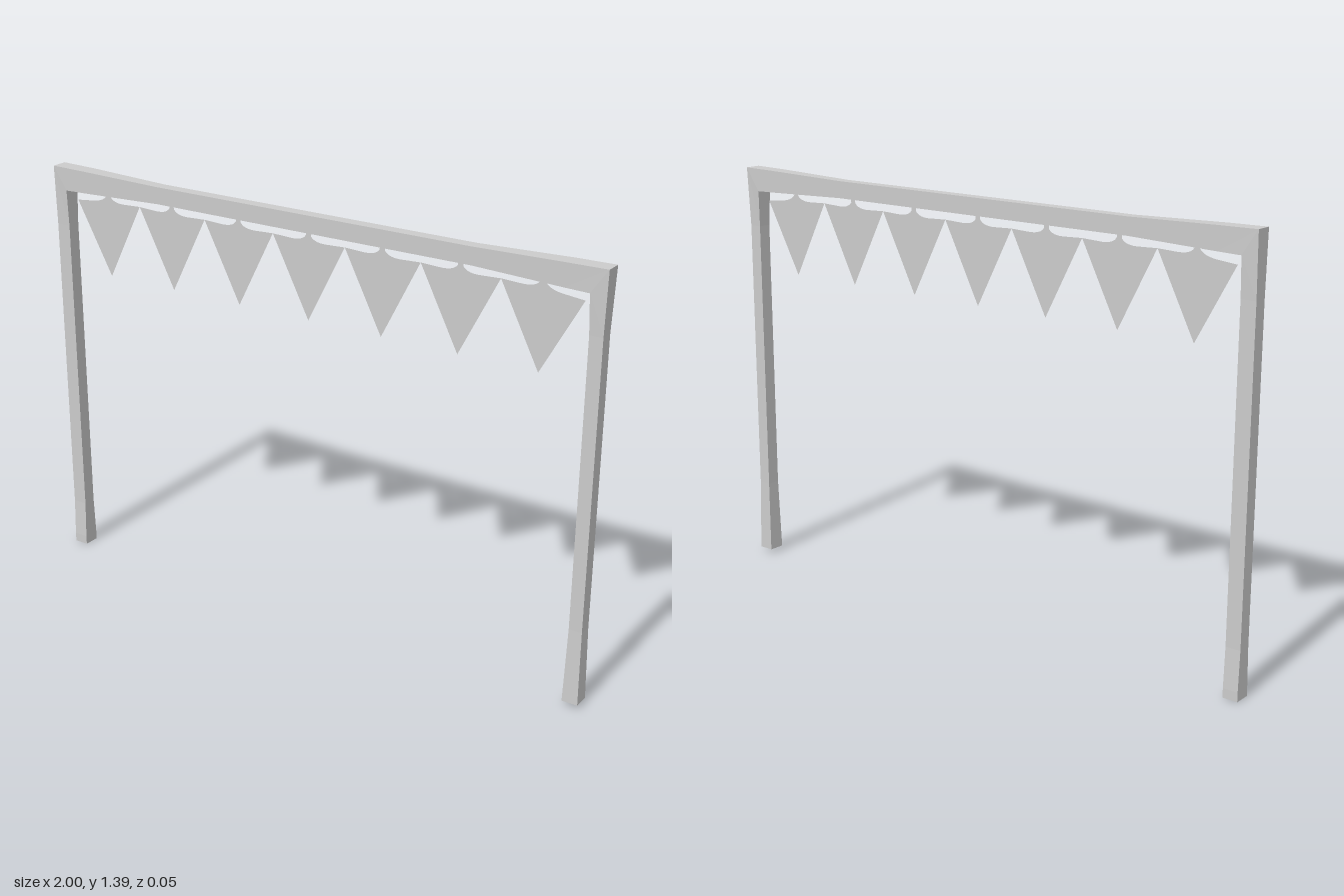
import * as THREE from 'three';

const material = new THREE.MeshStandardMaterial({ color: 0xcccccc, flatShading: true });
const clothMaterial = new THREE.MeshStandardMaterial({ color: 0xcccccc, side: THREE.DoubleSide });

// Square bar lofted through stations [outerX, outerY, innerX, innerY, halfDepth]
function bar(name, stations, capStart, capEnd) {
  const positions = [];
  const rings = stations.map(([ox, oy, ix, iy, d]) =>
    [[ox, oy, d], [ox, oy, -d], [ix, iy, -d], [ix, iy, d]]);
  const quad = (a, b, c, d) => [a, b, c, a, c, d].forEach((p) => positions.push(...p));
  for (let i = 0; i < rings.length - 1; i++) {
    for (let k = 0; k < 4; k++) {
      const n = (k + 1) % 4;
      quad(rings[i][k], rings[i + 1][k], rings[i + 1][n], rings[i][n]);
    }
  }
  if (capStart) quad(...rings[0]);
  if (capEnd) quad(...[...rings[rings.length - 1]].reverse());
  const geometry = new THREE.BufferGeometry();
  geometry.setAttribute('position', new THREE.Float32BufferAttribute(positions, 3));
  geometry.computeVertexNormals();
  const mesh = new THREE.Mesh(geometry, material);
  mesh.name = name;
  return mesh;
}

// Triangular flag with a small curved hanging tab; outer corners may droop
function pennant(x, leftDrop, rightDrop) {
  const top = 1.292;
  const half = 0.132;
  const s = new THREE.Shape();
  s.moveTo(0, 1.037);
  s.lineTo(half, top + 0.003 - rightDrop);
  s.lineTo(0.06, top - rightDrop * 0.35);
  s.quadraticCurveTo(0.02, top, 0.009, 1.31);
  s.lineTo(0.009, 1.326);
  s.lineTo(-0.009, 1.326);
  s.lineTo(-0.009, 1.31);
  s.quadraticCurveTo(-0.02, top, -0.06, top - leftDrop * 0.35);
  s.lineTo(-half, top + 0.003 - leftDrop);
  s.closePath();
  const mesh = new THREE.Mesh(new THREE.ShapeGeometry(s, 5), clothMaterial);
  mesh.name = 'pennant';
  mesh.position.x = x;
  return mesh;
}

export function createModel() {
  const group = new THREE.Group();
  group.name = 'buntingFrame';

  // Mitred corners shared by the posts and the beam
  const leftCorner = [-1, 1.389, -0.95, 1.312, 0.027];
  const rightCorner = [1, 1.389, 0.947, 1.312, 0.027];

  // Posts, slimmer between foot and corner; the left one is a touch longer
  group.add(bar('rightPost', [
    [-1, 0, -0.95, 0, 0.027], [-1, 0.03, -0.95, 0.03, 0.027],
    [-1, 0.16, -0.95, 0.16, 0.022], [-1, 1.19, -0.95, 1.19, 0.022], leftCorner,
  ], true, false));
  group.add(bar('leftPost', [
    rightCorner, [0.994, 1.19, 0.951, 1.19, 0.022],
    [0.994, 0.26, 0.951, 0.26, 0.022], [0.998, 0.013, 0.946, 0.013, 0.027],
  ], false, true));

  // Top beam, thinner in the middle
  group.add(bar('topBeam', [
    leftCorner,
    [-0.87, 1.387, -0.87, 1.314, 0.0265],
    [-0.57, 1.379, -0.57, 1.323, 0.02],
    [0.57, 1.379, 0.57, 1.323, 0.02],
    [0.87, 1.387, 0.87, 1.314, 0.0265],
    rightCorner,
  ], false, false));

  // Row of seven flags
  const bunting = new THREE.Group();
  bunting.name = 'bunting';
  for (let i = -3; i <= 3; i++) {
    bunting.add(pennant(i * 0.264, i === -3 ? 0.016 : 0, i === 3 ? 0.016 : 0));
  }
  group.add(bunting);
  return group;
}
